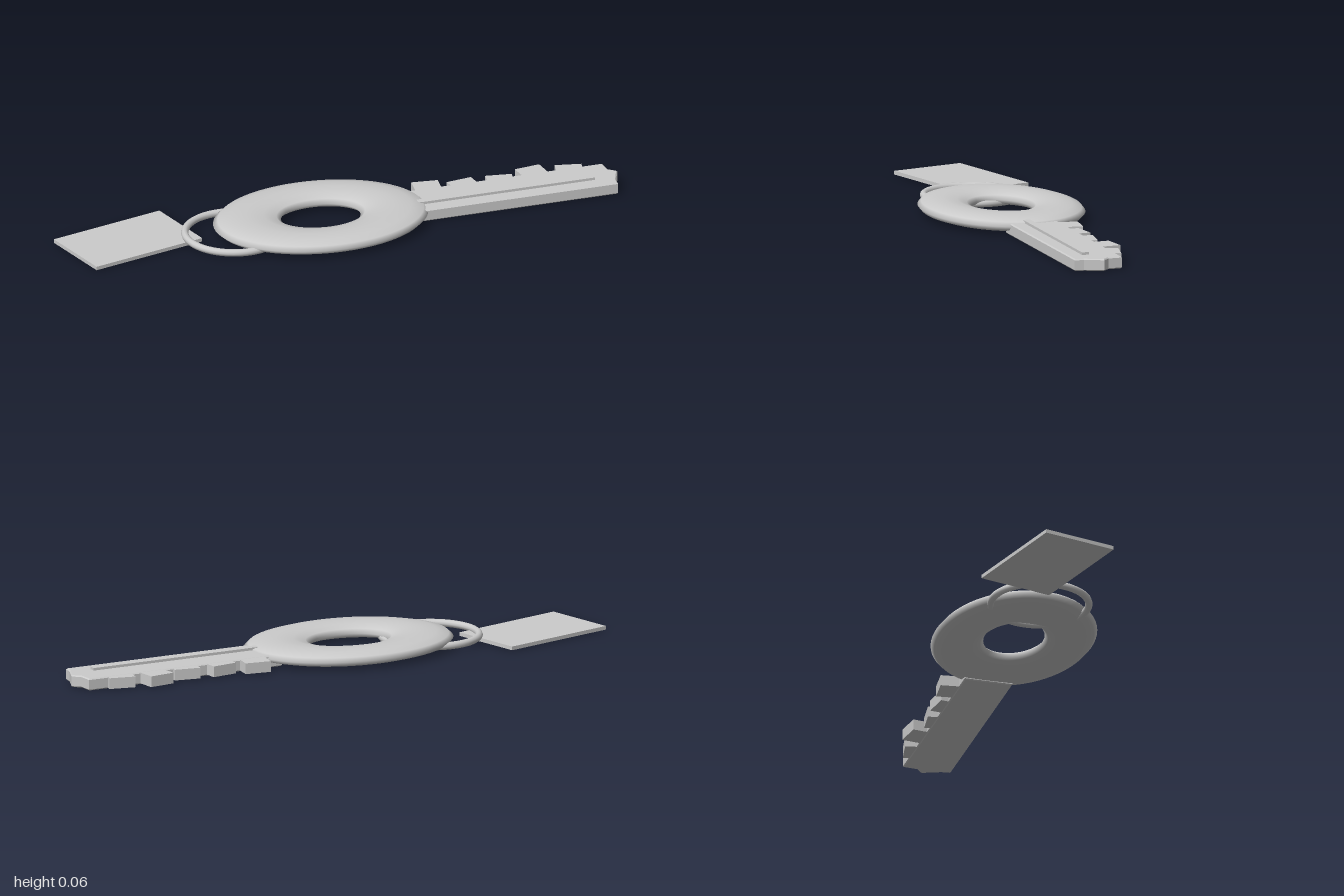
import * as THREE from 'three';

const material = new THREE.MeshStandardMaterial({ color: 0xcccccc });

export function createModel() {
  const group = new THREE.Group();
  group.name = 'keyWithTag';

  const add = (name, geometry, x, y, z, turn = 0) => {
    const mesh = new THREE.Mesh(geometry, material);
    mesh.name = name;
    mesh.position.set(x, y, z);
    mesh.rotation.y = turn;
    group.add(mesh);
    return mesh;
  };

  // Oval bow: a flattened torus
  const bow = new THREE.TorusGeometry(0.26, 0.12, 12, 64);
  bow.rotateX(-Math.PI / 2);
  bow.scale(1, 0.24, 0.729);
  add('bow', bow, -0.083, 0.032, -0.002);

  // Split ring through the bow
  const ring = new THREE.TorusGeometry(0.169, 0.013, 10, 56);
  ring.rotateX(-Math.PI / 2);
  add('keyRing', ring, -0.398, 0.02, -0.003);

  // Flat tag
  add('tag', new THREE.BoxGeometry(0.433, 0.013, 0.27), -0.756, 0.0085, -0.081, 0.25);

  // Blade outline with its small point, softened by a bevel
  const bevel = 0.004;
  const outline = [
    [0.22, -0.083], [0.968, -0.083], [0.972, -0.05], [0.998, 0.015],
    [0.972, 0.038], [0.968, 0.088], [0.22, 0.088],
  ].map(([x, y]) => new THREE.Vector2(x, y));
  const blade = new THREE.ExtrudeGeometry(new THREE.Shape(outline), {
    depth: 0.042 - 2 * bevel, bevelThickness: bevel, bevelSize: bevel,
    bevelOffset: -bevel, bevelSegments: 1,
  });
  blade.rotateX(-Math.PI / 2);
  add('blade', blade, 0, bevel, 0);

  // Long ridge on top of the blade
  add('bladeRidge', new THREE.BoxGeometry(0.64, 0.02, 0.025), 0.58, 0.041, 0.021);

  // Teeth: [centre x, outer z, turn]
  const teeth = [
    [0.337, -0.147, -0.12], [0.465, -0.122, 0.14], [0.593, -0.115, -0.15],
    [0.72, -0.146, 0.13], [0.845, -0.119, -0.2],
  ];
  teeth.forEach(([x, z, turn], i) => {
    add('tooth' + (i + 1), new THREE.BoxGeometry(0.093, 0.038, 0.09), x, 0.022, z + 0.045, turn);
  });

  return group;
}
